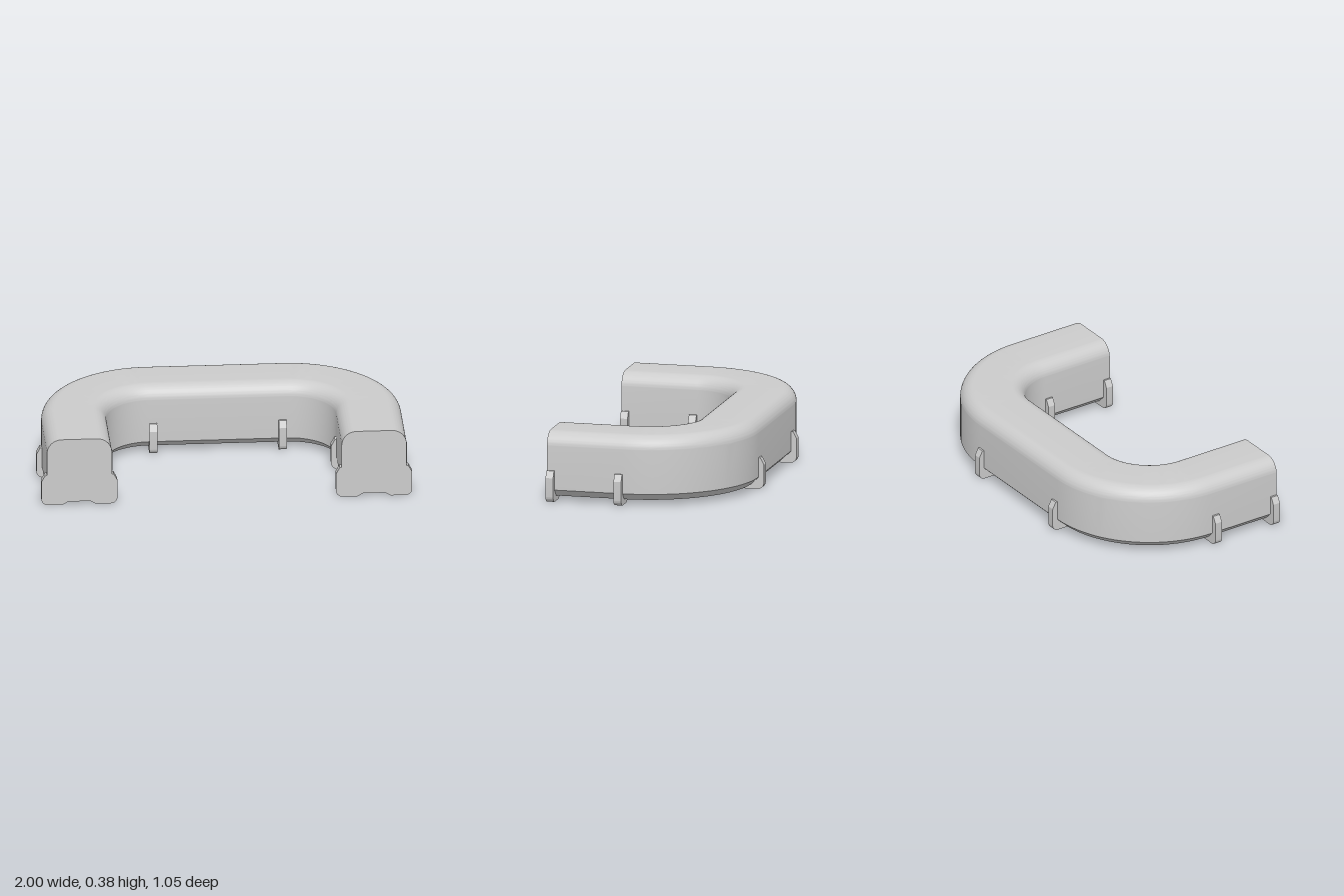
import * as THREE from 'three';
import { toCreasedNormals } from 'three/addons/utils/BufferGeometryUtils.js';

const HALF = 0.175;          // half width of the bar
const BOTTOM = 0.028, TOP = 0.38, CHAMFER = 0.037, ROUND = 0.08;
const BEND_X = 0.37, BEND_Z = 0.105, BEND_R = 0.425; // bend centres and centreline radius
const FRONT = 0.525;
const CLIP_DEPTH = 0.042;

const material = new THREE.MeshStandardMaterial({ color: 0xcccccc });

// Bar cross-section: chamfered underside, rounded top edges
function barProfile() {
  const s = new THREE.Shape();
  s.moveTo(-HALF + CHAMFER, BOTTOM);
  s.lineTo(HALF - CHAMFER, BOTTOM);
  s.lineTo(HALF, BOTTOM + CHAMFER);
  s.lineTo(HALF, TOP - ROUND);
  s.absarc(HALF - ROUND, TOP - ROUND, ROUND, 0, Math.PI / 2);
  s.lineTo(-HALF + ROUND, TOP);
  s.absarc(-HALF + ROUND, TOP - ROUND, ROUND, Math.PI / 2, Math.PI);
  s.lineTo(-HALF, BOTTOM + CHAMFER);
  s.closePath();
  return s;
}

// Stations along the U: centre point plus outward direction
function barStations() {
  const stations = [];
  const n = 24;
  for (const side of [-1, 1]) {
    for (let i = 0; i <= n; i++) {
      const a = (i / n + (side > 0 ? 1 : 0)) * Math.PI / 2;
      const nx = -Math.cos(a), nz = -Math.sin(a);
      stations.push({ x: side * BEND_X + nx * BEND_R, z: BEND_Z + nz * BEND_R, nx, nz });
    }
  }
  const legX = BEND_X + BEND_R;
  stations.unshift({ x: -legX, z: FRONT, nx: -1, nz: 0 });
  stations.push({ x: legX, z: FRONT, nx: 1, nz: 0 });
  return stations;
}

// Straight extrusion whose slices are moved onto the U path
function barGeometry() {
  const stations = barStations();
  const steps = stations.length - 1;
  const geo = new THREE.ExtrudeGeometry(barProfile(), {
    depth: steps, steps, bevelEnabled: false, curveSegments: 10,
  });
  const p = geo.attributes.position;
  for (let i = 0; i < p.count; i++) {
    const s = stations[Math.round(p.getZ(i))];
    const u = p.getX(i);
    p.setXYZ(i, s.x + s.nx * u, p.getY(i), s.z + s.nz * u);
  }
  return toCreasedNormals(geo, 0.5);
}

// U-shaped clip hugging the underside, with two feet
function clipGeometry() {
  const w = 0.205, r = 0.035;
  const s = new THREE.Shape();
  s.moveTo(-0.06, 0.017);
  s.lineTo(0.06, 0.017);
  s.lineTo(0.09, 0);
  s.lineTo(w - r, 0);
  s.absarc(w - r, r, r, -Math.PI / 2, 0);
  s.lineTo(w, 0.135);
  s.lineTo(HALF + 0.01, 0.172);
  s.lineTo(HALF, 0.172);
  s.lineTo(HALF, BOTTOM + CHAMFER);
  s.lineTo(HALF - CHAMFER, BOTTOM);
  s.lineTo(-HALF + CHAMFER, BOTTOM);
  s.lineTo(-HALF, BOTTOM + CHAMFER);
  s.lineTo(-HALF, 0.172);
  s.lineTo(-HALF - 0.01, 0.172);
  s.lineTo(-w, 0.135);
  s.lineTo(-w, r);
  s.absarc(-w + r, r, r, Math.PI, Math.PI * 1.5);
  s.lineTo(-0.09, 0);
  s.closePath();
  const geo = new THREE.ExtrudeGeometry(s, {
    depth: CLIP_DEPTH, bevelEnabled: false, curveSegments: 8,
  });
  geo.translate(0, 0, -CLIP_DEPTH / 2);
  return toCreasedNormals(geo, 0.4);
}

export function createModel() {
  const group = new THREE.Group();
  group.name = 'uShapedBar';

  const bar = new THREE.Mesh(barGeometry(), material);
  bar.name = 'bar';
  group.add(bar);

  const clipGeo = clipGeometry();
  const addClip = (name, x, z, turn) => {
    const clip = new THREE.Mesh(clipGeo, material);
    clip.name = name;
    clip.position.set(x, 0, z);
    clip.rotation.y = turn;
    group.add(clip);
  };

  // Two clips on each leg and one at each end of the back run
  for (const [side, label] of [[-1, 'right'], [1, 'left']]) {
    const legX = side * (BEND_X + BEND_R);
    addClip(label + 'EndClip', legX, FRONT - CLIP_DEPTH / 2, 0);
    addClip(label + 'LegClip', legX, BEND_Z + CLIP_DEPTH / 2, 0);
    addClip(label + 'BackClip', side * (BEND_X - CLIP_DEPTH / 2), BEND_Z - BEND_R, Math.PI / 2);
  }
  return group;
}
